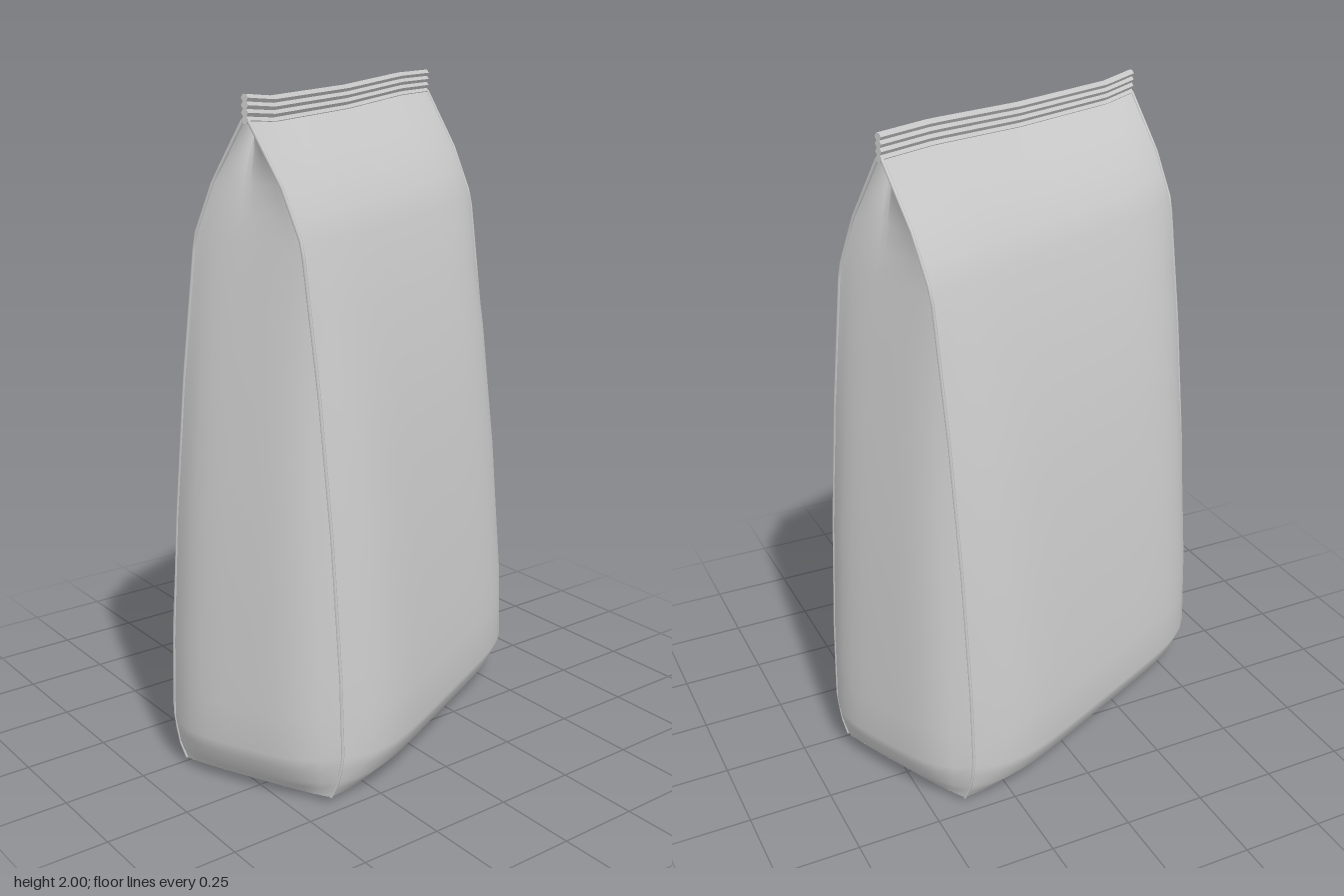
import * as THREE from 'three';

const HALF = 0.555; // half width, constant up the whole bag
// rows: height, corner depth, front bulge depth, side bulge width
const ROWS = [
  [0.02, 0.245, 0.29, 0.565],
  [0.07, 0.268, 0.345, 0.602],
  [0.15, 0.283, 0.382, 0.63],
  [0.4, 0.276, 0.372, 0.626],
  [0.8, 0.25, 0.335, 0.612],
  [1.2, 0.213, 0.28, 0.588],
  [1.6, 0.165, 0.192, 0.558],
  [1.75, 0.105, 0.122, 0.535],
  [1.92, 0.008, 0.008, 0.5],
];

// the closed top sags towards one end
const SAG = [[-0.56, -0.01], [-0.42, -0.021], [0, -0.01], [0.36, 0.012], [0.56, 0.014]];
function sag(x) {
  for (let i = 1; i < SAG.length; i++) {
    const [x0, s0] = SAG[i - 1], [x1, s1] = SAG[i];
    if (x <= x1) return s0 + (s1 - s0) * (x - x0) / (x1 - x0);
  }
  return 0.014;
}
const lift = (x, y) => y + sag(x) * Math.pow(y / 1.92, 6);

// smooth grid surface; a runs right and b runs up when seen from outside
function grid(na, nb, point) {
  const pos = [], index = [];
  for (let j = 0; j <= nb; j++)
    for (let i = 0; i <= na; i++) pos.push(...point((i / na) * 2 - 1, j / nb));
  for (let j = 0; j < nb; j++)
    for (let i = 0; i < na; i++) {
      const k = j * (na + 1) + i, m = k + na + 1;
      index.push(k, k + 1, m + 1, k, m + 1, m);
    }
  const g = new THREE.BufferGeometry();
  g.setAttribute('position', new THREE.Float32BufferAttribute(pos, 3));
  g.setIndex(index);
  g.computeVertexNormals();
  return g;
}

// linear lookup in the rows, b from 0 at the base to 1 at the seal
const STEPS = (ROWS.length - 1) * 2;
function row(b) {
  const f = b * (ROWS.length - 1), i = Math.min(Math.floor(f), ROWS.length - 2);
  return ROWS[i].map((v, k) => v + (ROWS[i + 1][k] - v) * (f - i));
}

export function createModel() {
  const model = new THREE.Group();
  const bag = new THREE.Group();
  bag.name = 'bag';
  bag.rotation.y = 0.44;
  model.add(bag);
  const mat = new THREE.MeshStandardMaterial({ color: 0xcccccc, side: THREE.DoubleSide });
  const ribbed = new THREE.MeshStandardMaterial({ color: 0xcccccc, flatShading: true });
  const add = (name, geometry, material = mat) => {
    const mesh = new THREE.Mesh(geometry, material);
    mesh.name = name;
    bag.add(mesh);
  };

  for (const s of [1, -1]) {
    // broad panel, bulging between its corner creases
    add(s > 0 ? 'frontPanel' : 'backPanel', grid(20, STEPS, (t, b) => {
      const [y, c, f] = row(b);
      const x = s * t * HALF;
      return [x, lift(x, y), s * (c + (f - c) * (1 - t ** 6))];
    }));

    // side gusset, rounded outwards low down and folded inwards near the seal
    add(s > 0 ? 'leftGusset' : 'rightGusset', grid(12, STEPS, (w, b) => {
      const [y, c, , out] = row(b);
      const shape = out > HALF ? 1 - w ** 4 : 1 - Math.abs(w);
      return [s * (HALF + (out - HALF) * shape), lift(s * HALF, y), -s * w * c];
    }));

    // pinched seams along the corners
    for (const q of [1, -1]) {
      const path = new THREE.CurvePath();
      const pts = ROWS.map(([y, c]) => new THREE.Vector3(s * (HALF - 0.001), lift(s * HALF, y), q * c));
      for (let i = 1; i < pts.length; i++) path.add(new THREE.LineCurve3(pts[i - 1], pts[i]));
      add('cornerSeam', new THREE.TubeGeometry(path, 40, 0.005, 6));
    }
  }

  // base, flat with a softly raised rim
  add('base', grid(20, 20, (t, b) => {
    const w = 1 - 2 * b;
    return [
      -t * (HALF + 0.01 * (1 - w ** 4)),
      0.02 * Math.max(Math.abs(t), Math.abs(w)) ** 6,
      -w * (0.245 + 0.045 * (1 - t ** 6)),
    ];
  }));

  // crimped seal with horizontal ribs
  const seal = new THREE.BoxGeometry(HALF * 2 + 0.004, 0.076, 0.022, 24, 8, 1);
  const p = seal.attributes.position;
  for (let i = 0; i < p.count; i++) {
    const rib = Math.round((p.getY(i) / 0.076 + 0.5) * 8) % 2;
    p.setZ(i, p.getZ(i) * (rib ? 1 : 0.45));
    p.setY(i, p.getY(i) + 1.948 + sag(p.getX(i)));
  }
  seal.computeVertexNormals();
  add('topSeal', seal, ribbed);
  return model;
}
